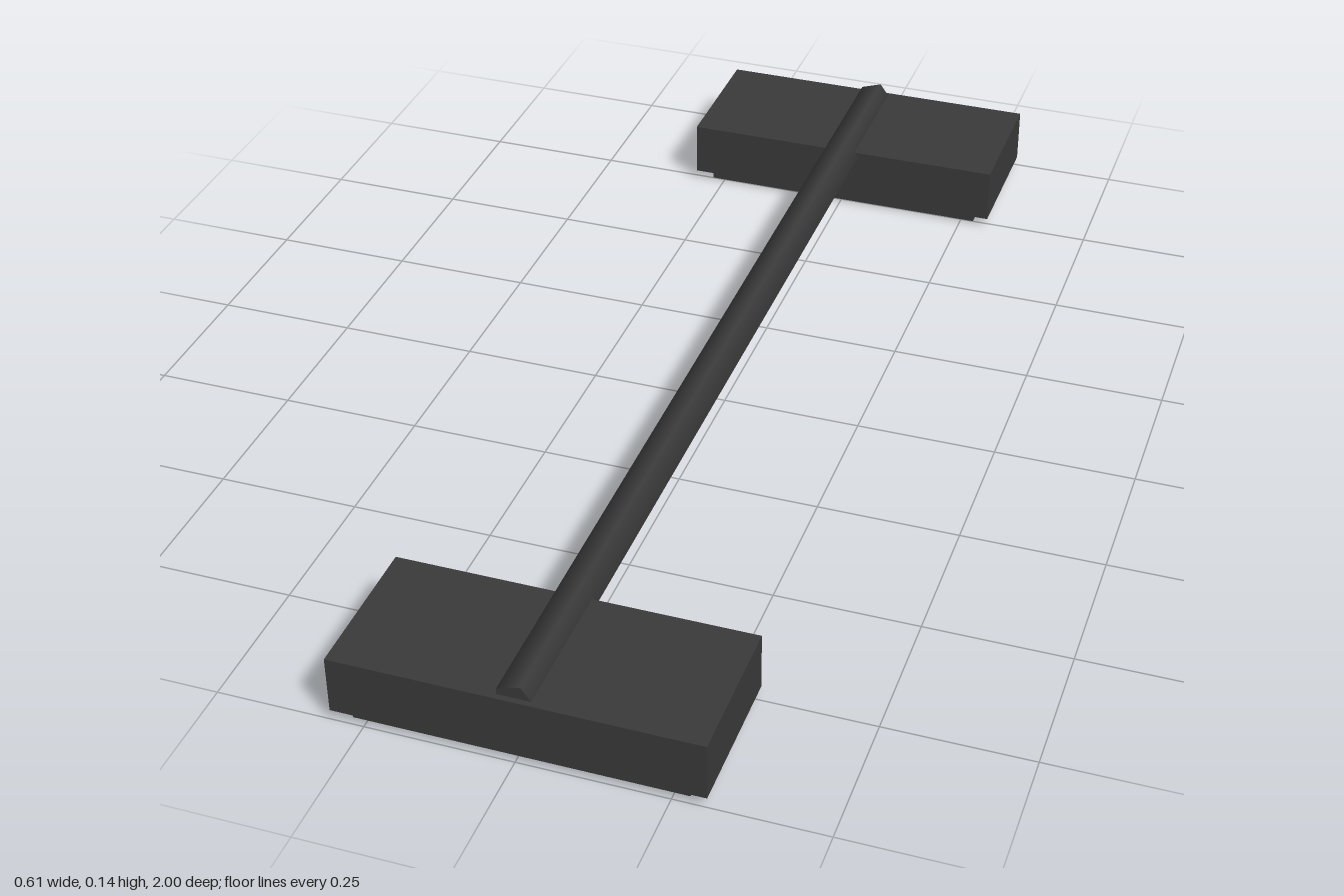
import * as THREE from 'three';

export function createModel() {
  const group = new THREE.Group();
  const darkGrey = new THREE.MeshStandardMaterial({ color: 0x3a3a3a });
  darkGrey.name = 'dark grey';

  const add = (name, geometry, x, y, z) => {
    const mesh = new THREE.Mesh(geometry, darkGrey);
    mesh.name = name;
    mesh.position.set(x, y, z);
    group.add(mesh);
  };

  // End blocks, each on a slightly smaller foot pad
  for (const [side, s] of [['front', 1], ['back', -1]]) {
    add(side + 'Block', new THREE.BoxGeometry(0.612, 0.102, 0.262), 0, 0.069, s * 0.869);
    add(side + 'FootPad', new THREE.BoxGeometry(0.55, 0.018, 0.235), 0, 0.009, s * 0.868);
  }

  // Five-sided, smooth-shaded connecting bar with one ridge towards +x
  const bar = new THREE.CylinderGeometry(0.035, 0.035, 1.98, 5, 1, false, Math.PI / 2);
  bar.rotateX(Math.PI / 2);
  add('connectingBar', bar, 0, 0.11, 0);

  return group;
}
